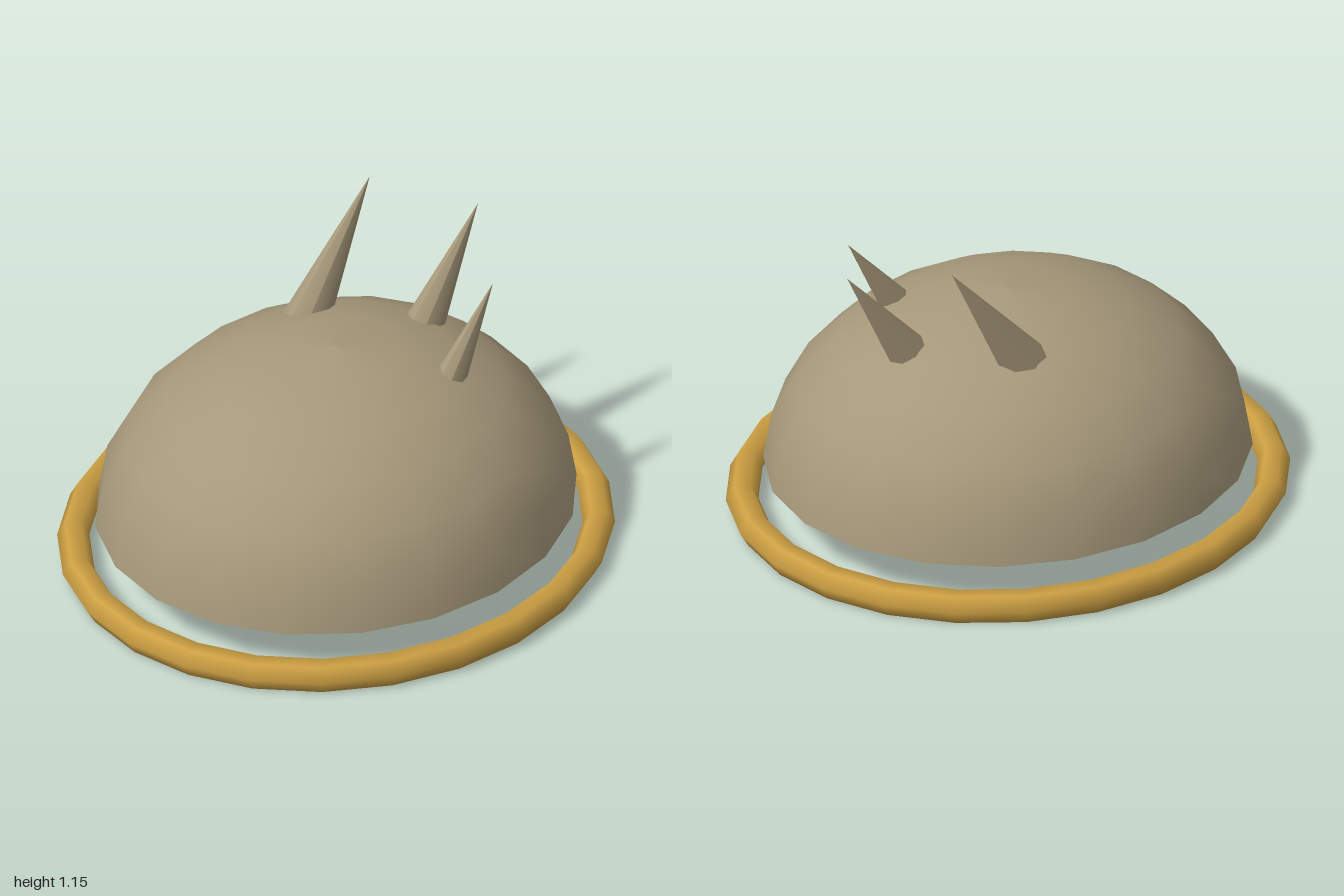
import * as THREE from 'three';

export function createModel() {
  const model = new THREE.Group();
  const shellTan = new THREE.MeshStandardMaterial({ color: 0xa6987a });
  shellTan.name = 'shellTan';
  const gold = new THREE.MeshStandardMaterial({ color: 0xcc9f43 });
  gold.name = 'gold';
  const DEPTH = 0.912; // everything is slightly narrower front to back

  const add = (name, geometry, material) => {
    const mesh = new THREE.Mesh(geometry, material);
    mesh.name = name;
    model.add(mesh);
    return mesh;
  };

  // Floating ring: six-sided tube around 24 steps
  const ring = new THREE.TorusGeometry(0.942, 0.058, 6, 24);
  ring.rotateX(Math.PI / 2).scale(1, 1, DEPTH).translate(0, 0.05, 0);
  add('baseRing', ring, gold);

  // Hollow dome: outer skin, inner skin and a narrow rim
  const arc = (radius, height, base) =>
    Array.from({ length: 7 }, (_, i) => {
      const a = (i * Math.PI) / 12;
      return new THREE.Vector2(i === 6 ? 0 : radius * Math.cos(a), base + height * Math.sin(a));
    });
  const outer = arc(0.866, 0.638, 0.166);
  const inner = arc(0.822, 0.605, 0.158);
  const skin = (name, points) =>
    add(name, new THREE.LatheGeometry(points, 20).scale(1, 1, DEPTH), shellTan);
  skin('domeOuter', outer);
  skin('domeInner', inner.slice().reverse());
  skin('domeRim', [inner[0], outer[0]]);

  // Three leaning spikes that pierce the dome
  const LENGTH = 0.81, TILT = 0.6;
  const tips = [[0.46, 1.145, -0.3], [0.685, 1.07, 0], [0.46, 0.99, 0.3]];
  tips.forEach(([x, y, z], i) => {
    const spike = new THREE.ConeGeometry(0.13, LENGTH, 8);
    spike.translate(0, -LENGTH / 2, 0).rotateZ(-TILT).scale(1, 1, DEPTH);
    add('spike' + (i + 1), spike, shellTan).position.set(x, y, z);
  });

  return model;
}
